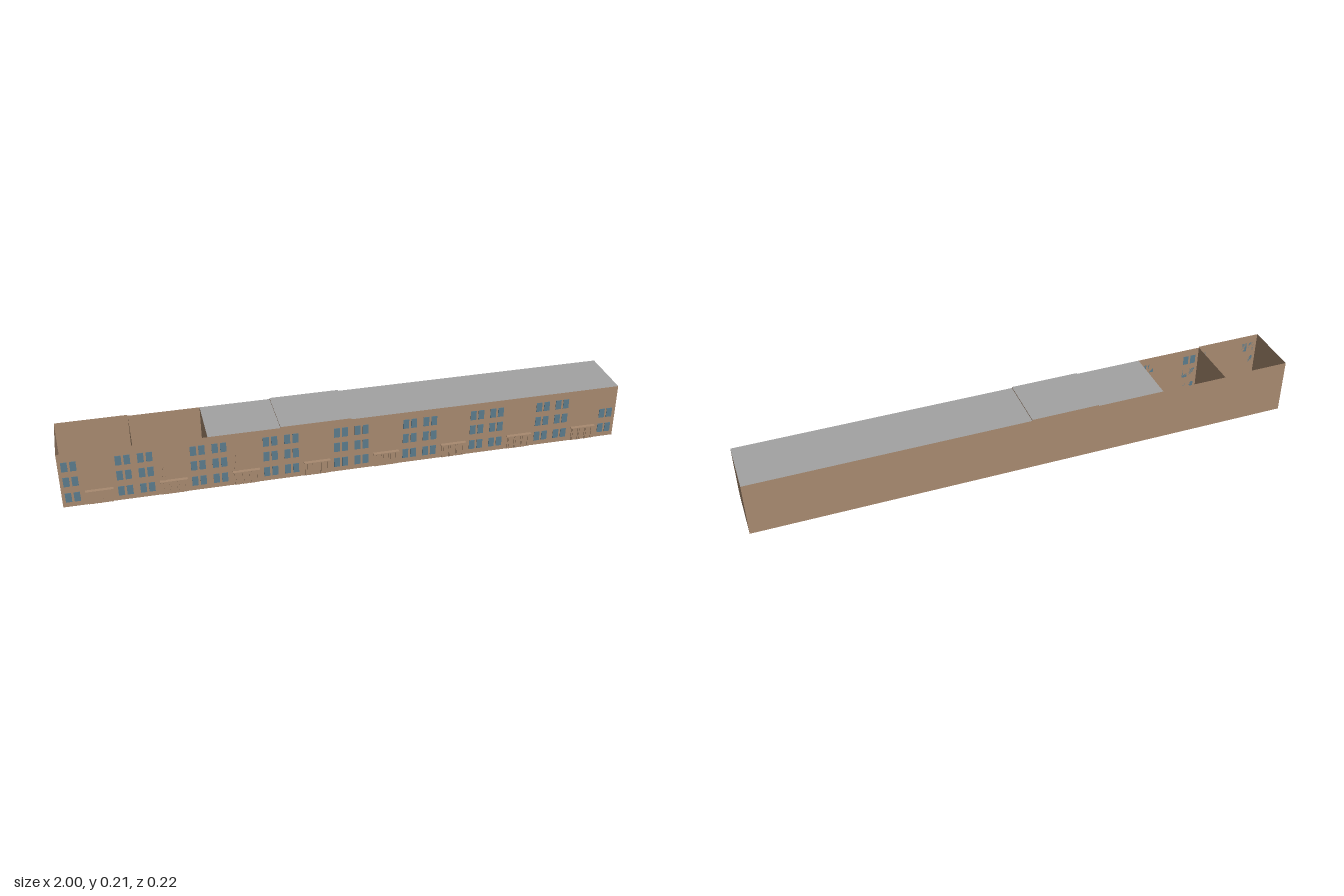
import * as THREE from 'three';

const FRONT = 0.098, BACK = -0.11, BAY = 0.25;

export function createModel() {
  const group = new THREE.Group();
  const wall = new THREE.MeshStandardMaterial({ color: 0xa88a70, side: THREE.DoubleSide });
  wall.name = 'brown wall';
  const roof = new THREE.MeshStandardMaterial({ color: 0xa3a3a3, side: THREE.DoubleSide });
  roof.name = 'grey roof';
  const glass = new THREE.MeshStandardMaterial({ color: 0x5b7c8d });
  glass.name = 'blue glass';

  const add = (name, geometry, material, x, y, z) => {
    const mesh = new THREE.Mesh(geometry, material);
    mesh.name = name;
    mesh.position.set(x, y, z);
    group.add(mesh);
    return mesh;
  };
  const plane = (name, w, h, material, x, y, z, rx = 0, ry = 0) =>
    add(name, new THREE.PlaneGeometry(w, h), material, x, y, z).rotation.set(rx, ry, 0);

  // Thin-walled bays: the first two stand open, the others are roofed
  const depth = FRONT - BACK, midZ = (FRONT + BACK) / 2;
  for (let i = 0; i < 8; i++) {
    const x0 = -1 + i * BAY, cx = x0 + BAY / 2;
    const h = i === 0 || i === 3 ? 0.209 : 0.205;
    plane('frontWall', BAY, h, wall, cx, h / 2, FRONT);
    plane('backWall', BAY, h, wall, cx, h / 2, BACK, 0, Math.PI);
    plane('floor', BAY, depth, wall, cx, 0, midZ, Math.PI / 2);
    plane('partyWall', depth, h, wall, x0, h / 2, midZ, 0, -Math.PI / 2);
    if (i > 1) plane('roof', BAY, depth, roof, cx, h, midZ, -Math.PI / 2);
    if (i === 3) plane('roofStep', depth, 0.004, wall, x0 + BAY, 0.207, midZ, 0, Math.PI / 2);
  }
  plane('endWall', depth, 0.205, wall, 1, 0.1025, midZ, 0, Math.PI / 2);

  // Paired windows at both sides of every bay, three storeys
  const pane = new THREE.BoxGeometry(0.021, 0.036, 0.002);
  for (let i = 0; i < 8; i++)
    for (const [side, offset] of [0.036, 0.212].entries())
      [0.037, 0.099, 0.158].forEach((y, row) => {
        if (i === 7 && side === 1 && row === 2) return;
        for (const s of [-1, 1])
          add('window', pane, glass, -1 + i * BAY + offset + s * 0.0145, y, FRONT + 0.001);
      });

  // Door panels, with arched or flat heads
  const doorGeometry = (arched) => {
    const w = 0.009, s = new THREE.Shape();
    s.moveTo(-w, 0).lineTo(w, 0).lineTo(w, 0.042);
    if (arched) s.absarc(0, 0.042, w, 0, Math.PI);
    else s.lineTo(w, 0.051).lineTo(-w, 0.051);
    s.closePath();
    return new THREE.ExtrudeGeometry(s, { depth: 0.002, bevelEnabled: false, curveSegments: 6 });
  };
  const arched = doorGeometry(true), flat = doorGeometry(false);

  // Entrances: canopy, slim posts and doors
  const canopy = new THREE.BoxGeometry(0.094, 0.003, 0.013);
  const post = new THREE.BoxGeometry(0.004, 0.054, 0.003);
  for (let i = 0; i < 8; i++) {
    const cx = -1 + (i + 0.5) * BAY;
    add('canopy', canopy, wall, cx, 0.055, FRONT + 0.0065);
    for (const s of [-1.5, -0.5, 0.5, 1.5])
      add('doorPost', post, wall, cx + s * 0.026, 0.027, FRONT + 0.0015);
    for (const s of [-1, 0, 1])
      add('door', i % 4 === 0 ? arched : flat, wall, cx + s * 0.026, 0, FRONT);
  }

  // Narrow pointed fins above two canopies
  for (const [x, h] of [[-0.657, 0.056], [-0.408, 0.066]]) {
    const s = new THREE.Shape();
    s.moveTo(-0.008, 0).lineTo(0.008, 0).lineTo(0, h).closePath();
    add('pointedFin', new THREE.ExtrudeGeometry(s, { depth: 0.002, bevelEnabled: false }),
      wall, x, 0.056, FRONT);
  }
  return group;
}
